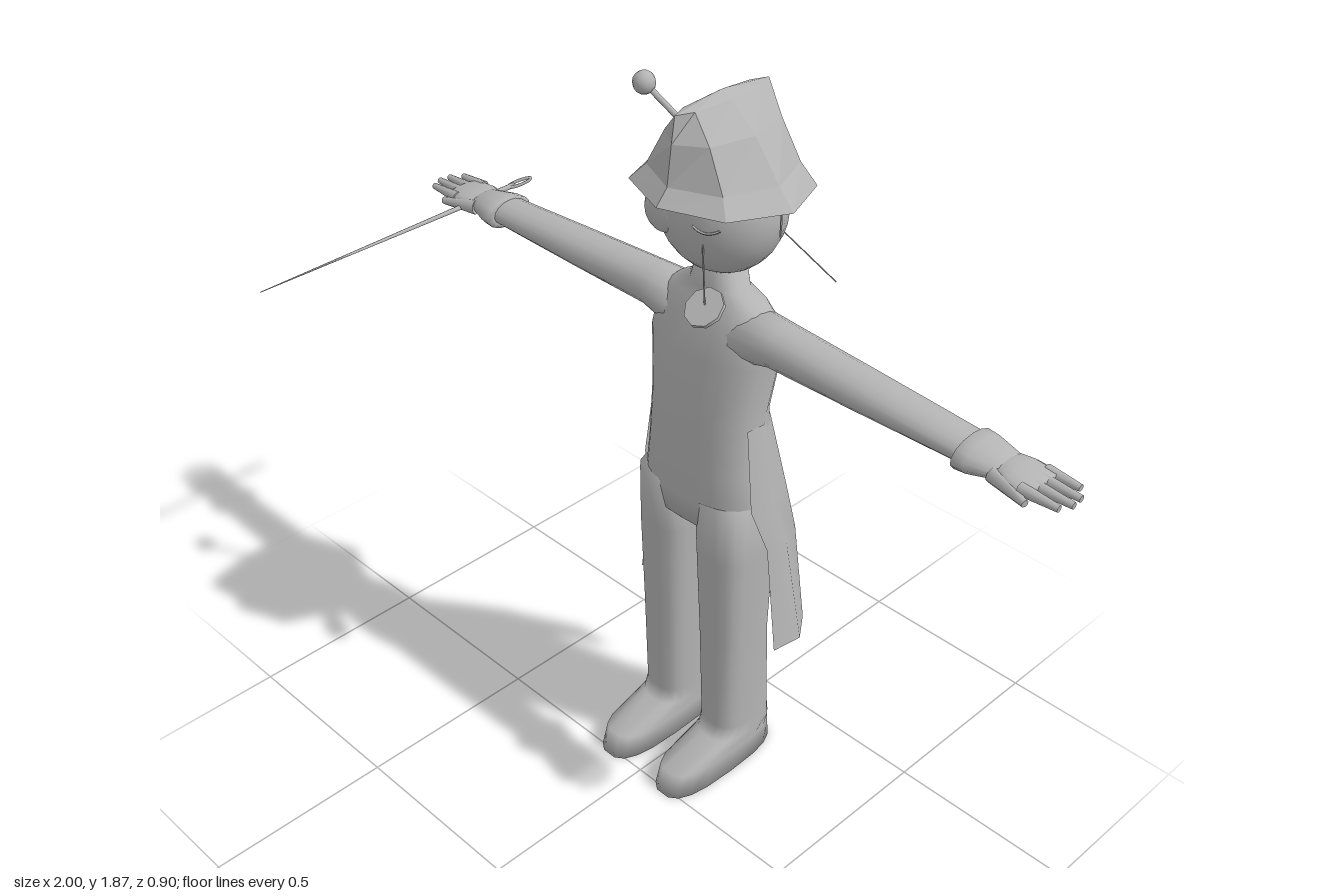
import * as THREE from 'three';

const grey = new THREE.MeshStandardMaterial({ color: 0xb4b4b4, side: THREE.DoubleSide });
grey.name = 'plainGrey';

const geo = (pos, idx) => {
  const g = new THREE.BufferGeometry();
  g.setAttribute('position', new THREE.Float32BufferAttribute(pos, 3));
  g.setIndex(idx);
  g.computeVertexNormals();
  return g;
};

// Upright loft: rings run bottom to top as [y, cx, cz, halfX, halfZ]; power < 1 is boxier
function loft(rings, segs = 20, { power = 1, bottom = true, top = true, peak = 0 } = {}) {
  const pos = [], idx = [];
  const bend = v => Math.sign(v) * Math.abs(v) ** power;
  for (const [y, cx, cz, a, b] of rings) {
    for (let j = 0; j < segs; j++) {
      const t = j / segs * Math.PI * 2;
      pos.push(cx + a * bend(Math.cos(t)), y, cz + b * bend(Math.sin(t)));
    }
  }
  for (let i = 0; i < rings.length - 1; i++) {
    for (let j = 0; j < segs; j++) {
      const k = (j + 1) % segs, p = i * segs, q = p + segs;
      idx.push(p + j, q + j, p + k, p + k, q + j, q + k);
    }
  }
  const cap = (i, up) => {
    const [y, cx, cz] = rings[i], c = pos.length / 3;
    pos.push(cx, y + (up ? peak : 0), cz);
    for (let j = 0; j < segs; j++) {
      const p = i * segs + j, q = i * segs + (j + 1) % segs;
      idx.push(c, up ? q : p, up ? p : q);
    }
  };
  if (bottom) cap(0, false);
  if (top) cap(rings.length - 1, true);
  return geo(pos, idx);
}

// Loft lying along +x: rings are [x, yc, zc, halfY, halfZ]
const loftX = (rings, segs, opts) =>
  loft(rings.map(([x, y, z, hy, hz]) => [x, -y, z, hy, hz]), segs, opts).rotateZ(-Math.PI / 2);

// Tapered rod between two points
function rod(a, b, r0, r1 = r0, segs = 8) {
  const p = new THREE.Vector3(...a), q = new THREE.Vector3(...b), d = q.clone().sub(p);
  const g = new THREE.CylinderGeometry(r1, r0, d.length(), segs);
  g.applyQuaternion(new THREE.Quaternion().setFromUnitVectors(new THREE.Vector3(0, 1, 0), d.normalize()));
  const m = p.add(q).multiplyScalar(0.5);
  return g.translate(m.x, m.y, m.z);
}

function mirror(g) {
  const m = g.clone().scale(-1, 1, 1), ix = m.index.array;
  for (let i = 0; i < ix.length; i += 3) [ix[i], ix[i + 1]] = [ix[i + 1], ix[i]];
  return m;
}

function faceted(g) {
  const f = g.toNonIndexed();
  f.computeVertexNormals();
  return f;
}

export function createModel() {
  const model = new THREE.Group();
  model.name = 'fencer';
  const add = (name, g) => {
    const m = new THREE.Mesh(g, grey);
    m.name = name;
    model.add(m);
  };
  const addPair = (name, g) => {
    add('left' + name, g);
    add('right' + name, mirror(g));
  };

  // Torso and neck: [y, half width, front z, back z]
  const torso = [
    [0.78, 0.165, -0.14, -0.34], [0.85, 0.178, -0.13, -0.36], [0.95, 0.165, -0.13, -0.355],
    [1.1, 0.155, -0.135, -0.335], [1.25, 0.174, -0.15, -0.35], [1.33, 0.17, -0.175, -0.34],
    [1.375, 0.13, -0.195, -0.325], [1.4, 0.075, -0.205, -0.312], [1.47, 0.055, -0.21, -0.31],
  ];
  add('torso', loft(torso.map(([y, w, f, b]) => [y, 0, (f + b) / 2, w, (f - b) / 2]), 24, { power: 0.8 }));

  // Legs running into shoes: [y, inner x, outer x, front z, back z]
  const leg = [
    [0, 0.033, 0.172, 0.02, -0.365], [0.065, 0.035, 0.17, 0.0, -0.358], [0.1, 0.036, 0.17, -0.145, -0.35],
    [0.14, 0.036, 0.168, -0.16, -0.345], [0.43, 0.03, 0.172, -0.15, -0.325],
    [0.7, 0.02, 0.178, -0.138, -0.33], [0.86, 0.015, 0.176, -0.132, -0.345],
  ];
  addPair('Leg', loft(leg.map(([y, i, o, f, b]) =>
    [y, (i + o) / 2, (f + b) / 2, (o - i) / 2, (f - b) / 2]), 18, { power: 0.7 }));

  // Coat skirt: half outline per row from back centre to front edge, notched at the bottom
  const rows = [
    [1.08, [0, -0.338], [0.08, -0.332], [0.135, -0.3], [0.16, -0.25], [0.155, -0.2]],
    [0.86, [0, -0.385], [0.09, -0.38], [0.16, -0.345], [0.188, -0.27], [0.182, -0.195]],
    [0.73, [0, -0.395], [0.1, -0.395], [0.18, -0.365], [0.21, -0.3], [0.2, -0.24]],
    [0.43, [0.08, -0.4], [0.13, -0.4], [0.2, -0.395], [0.252, -0.325], [0.24, -0.24]],
  ];
  const pos = [], idx = [];
  for (const [y, ...pts] of rows) for (const [x, z] of pts) pos.push(x, y, z);
  for (let r = 0; r < 3; r++) {
    for (let c = 0; c < 4; c++) {
      const a = r * 5 + c, b = a + 5;
      idx.push(a, a + 1, b, a + 1, b + 1, b);
    }
  }
  addPair('CoatTail', geo(pos, idx));

  // Arms with flared cuffs
  addPair('Sleeve', loftX([
    [0.08, 1.3, -0.255, 0.07, 0.08], [0.2, 1.315, -0.252, 0.054, 0.064],
    [0.45, 1.311, -0.25, 0.044, 0.06], [0.76, 1.305, -0.25, 0.031, 0.052],
  ], 16));
  addPair('Cuff', loftX([
    [0.733, 1.304, -0.247, 0.03, 0.055], [0.735, 1.304, -0.247, 0.039, 0.071],
    [0.765, 1.304, -0.247, 0.037, 0.068], [0.83, 1.304, -0.25, 0.024, 0.048],
  ], 14));

  // Hands: palm, four fingers and thumb
  addPair('Palm', loftX([
    [0.81, 1.304, -0.25, 0.024, 0.045], [0.86, 1.303, -0.25, 0.022, 0.06], [0.92, 1.303, -0.25, 0.013, 0.058],
  ], 14));
  [0.975, 0.997, 1, 0.985].forEach((tip, i) => {
    const z = -0.295 + i * 0.03;
    addPair('Finger' + (i + 1), rod([0.89, 1.304, z], [tip, 1.303, z], 0.015, 0.008));
  });
  addPair('Thumb', rod([0.82, 1.3, -0.21], [0.92, 1.293, -0.182], 0.02, 0.009));

  // Head and face
  add('head', new THREE.SphereGeometry(1, 24, 16).scale(0.16, 0.165, 0.14).translate(0, 1.603, -0.258));
  add('eyePatch', new THREE.SphereGeometry(1, 10, 8).scale(0.052, 0.052, 0.018).translate(-0.07, 1.597, -0.135));
  add('closedEye', new THREE.TubeGeometry(new THREE.QuadraticBezierCurve3(
    new THREE.Vector3(0.04, 1.605, -0.122), new THREE.Vector3(0.07, 1.582, -0.126),
    new THREE.Vector3(0.1, 1.605, -0.145)), 8, 0.003, 5));
  add('sideRibbon', new THREE.BoxGeometry(0.003, 0.07, 0.004).translate(0.178, 1.615, -0.255));
  add('strapEnd', rod([0.12, 1.54, -0.335], [0.225, 1.43, -0.4], 0.0015, 0.0015, 4));

  // Hanging eyeglass on a string
  add('eyeglassString', rod([0.06, 1.56, -0.135], [0.065, 1.41, -0.14], 0.002, 0.002, 5));
  add('eyeglass', new THREE.CylinderGeometry(0.05, 0.05, 0.01, 9).rotateX(0.68).translate(0.065, 1.402, -0.14));

  // Eight-sided hat pinched into a front-to-back ridge
  const hat = loft([
    [1.648, 0, -0.258, 0.21, 0.208], [1.695, 0, -0.258, 0.165, 0.175],
    [1.79, 0, -0.255, 0.095, 0.16], [1.853, 0, -0.25, 0.025, 0.146],
  ], 8, { bottom: false, peak: 0.017 });
  const hp = hat.attributes.position;
  for (let i = 0; i < 8; i++) hp.setY(i, hp.getY(i) + (hp.getZ(i) + 0.258) * 0.05);
  add('hat', faceted(hat));
  add('hatPin', rod([-0.09, 1.745, -0.245], [-0.19, 1.84, -0.2], 0.007));
  add('hatPinBall', new THREE.SphereGeometry(0.027, 10, 8).translate(-0.19, 1.84, -0.2));

  // Rapier held in the right hand
  add('blade', rod([-0.86, 1.292, -0.25], [-0.86, 1.289, 0.43], 0.007, 0.001));
  add('grip', rod([-0.86, 1.292, -0.37], [-0.86, 1.292, -0.2], 0.007));
  add('pommelLoop', new THREE.TorusGeometry(0.032, 0.005, 6, 16).rotateX(Math.PI / 2)
    .scale(0.35, 1, 1.2).translate(-0.86, 1.292, -0.39));
  return model;
}
